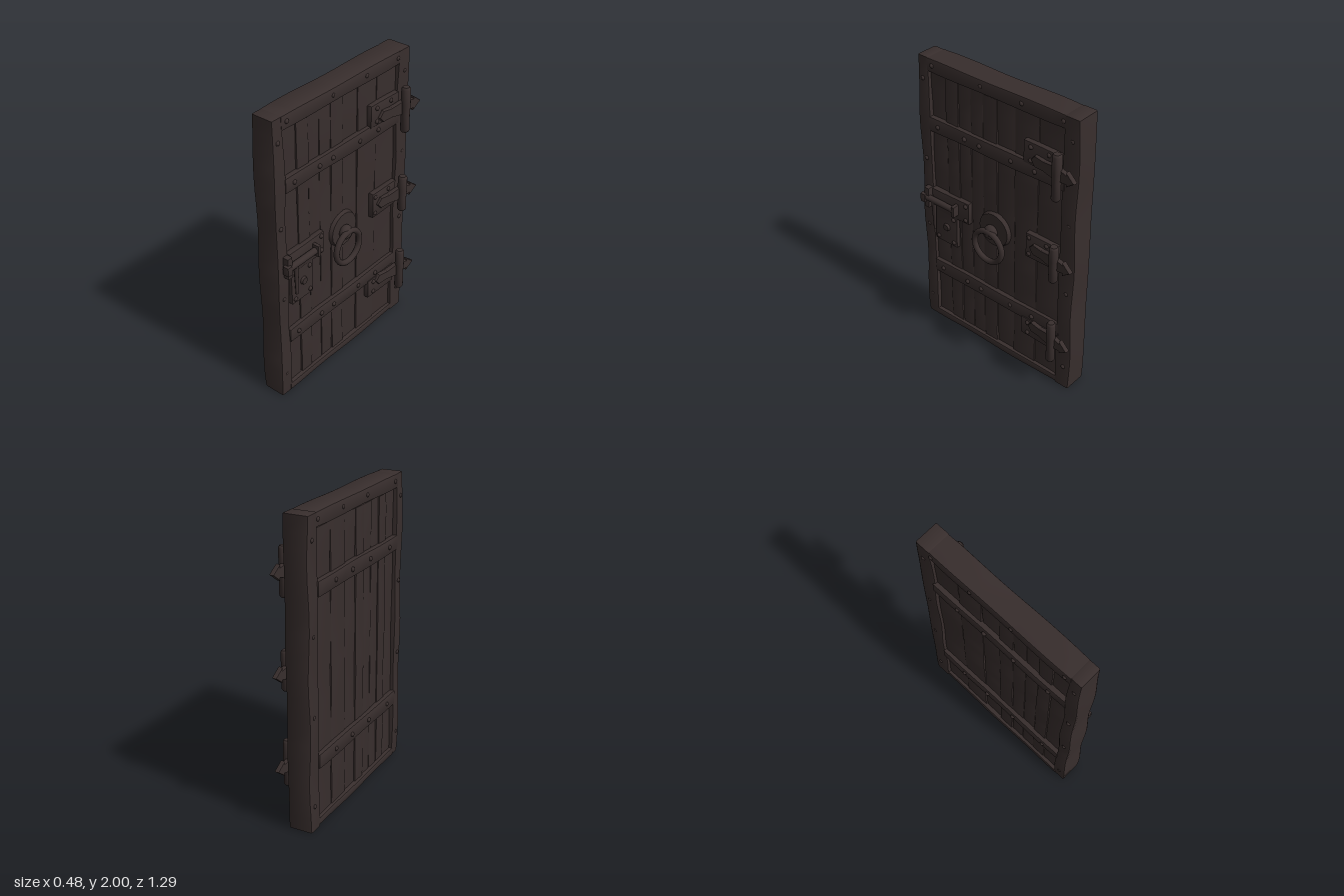
import * as THREE from 'three';
import { toCreasedNormals } from 'three/addons/utils/BufferGeometryUtils.js';

export function createModel() {
  const wood = new THREE.MeshStandardMaterial({ color: 0x382e2d });
  wood.name = 'dark weathered wood and iron';
  const model = new THREE.Group();
  model.name = 'door';
  // Door frame of reference: x = thickness (fittings on +x), y = up, z = width
  const door = new THREE.Group();
  door.name = 'swungDoor';
  door.position.set(-0.027, 0, 0.02);
  door.rotation.y = 0.223;
  model.add(door);

  const add = (name, geo, x, y, z, parent = door) => {
    const mesh = new THREE.Mesh(geo, wood);
    mesh.name = name;
    mesh.position.set(x, y, z);
    parent.add(mesh);
    return mesh;
  };

  // Hand-hewn beam: rounded edges and a gentle waviness along its length
  let seed = 0;
  const beamGeo = (size, bevel, wave) => {
    seed += 1.7;
    const long = size.indexOf(Math.max(...size));
    const segs = size.map((s, i) => (i === long ? Math.max(3, Math.round(s * 10)) : 3));
    const g = new THREE.BoxGeometry(...size, ...segs);
    const p = g.attributes.position;
    const v = new THREE.Vector3(), core = new THREE.Vector3();
    const inner = new THREE.Vector3(...size).multiplyScalar(0.5).subScalar(bevel);
    const low = inner.clone().negate();
    for (let i = 0; i < p.count; i++) {
      v.fromBufferAttribute(p, i);
      const c = v.toArray().map((a, k) =>
        k !== long && Math.abs(a) < size[k] * 0.4 ? Math.sign(a) * inner.getComponent(k) : a);
      v.fromArray(c);
      core.copy(v).clamp(low, inner);
      v.sub(core);
      if (v.length() > bevel) v.setLength(bevel);
      v.add(core);
      const t = v.getComponent(long);
      for (let k = 0; k < 3; k++) {
        if (k === long) continue;
        const side = Math.sign(v.getComponent(k));
        v.setComponent(k, v.getComponent(k) + wave * Math.sin(t * 9 + seed * (k + 2) + side * 2));
      }
      p.setXYZ(i, v.x, v.y, v.z);
    }
    return toCreasedNormals(g, 0.7);
  };
  // Beam given by its limits on each axis
  const beam = (name, [x0, x1], [y0, y1], [z0, z1], bevel = 0.01, wave = 0.002) =>
    add(name, beamGeo([x1 - x0, y1 - y0, z1 - z0], bevel, wave),
      (x0 + x1) / 2, (y0 + y1) / 2, (z0 + z1) / 2);

  // Outer frame
  const depth = [-0.08, 0.08];
  beam('hingeStile', depth, [0, 2], [-0.62, -0.505], 0.012, 0.004);
  beam('latchStile', depth, [0, 2], [0.53, 0.62], 0.012, 0.004);
  beam('topRail', depth, [1.908, 2], [-0.52, 0.545], 0.01, 0.002);
  beam('bottomRail', depth, [0.003, 0.055], [-0.52, 0.545], 0.01, 0.002);

  // Vertical planks of uneven width
  const cuts = [-0.51, -0.32, -0.14, 0, 0.11, 0.21, 0.31, 0.41, 0.535];
  for (let i = 0; i < cuts.length - 1; i++) {
    const d = 0.058 + 0.004 * Math.sin(i * 2.4);
    beam('plank', [-d, d], [0.045, 1.9], [cuts[i] - 0.001, cuts[i + 1] + 0.001], 0.007, 0.002);
  }

  // Dome-headed rivet on either face
  const rivetGeo = new THREE.SphereGeometry(0.016, 10, 5, 0, Math.PI * 2, 0, Math.PI / 2);
  rivetGeo.rotateZ(-Math.PI / 2);
  const rivet = (x, y, z, side = 1) => {
    const r = add('rivet', rivetGeo, x * side, y, z);
    r.rotation.y = side > 0 ? 0 : Math.PI;
  };

  // Cross bands on both faces, with rivets
  for (const y of [0.45, 1.55]) {
    beam('frontBand', [0.04, 0.085], [y - 0.05, y + 0.05], [-0.525, 0.535], 0.008, 0.002);
    beam('backBand', [-0.087, -0.04], [y - 0.05, y + 0.05], [-0.515, 0.54], 0.008, 0.002);
    for (const z of [-0.31, -0.13, 0.12, 0.24, 0.46]) rivet(0.083, y, z);
    for (const z of [-0.31, -0.095, 0.14, 0.41]) rivet(0.085, y, z, -1);
  }
  // Small nails in the frame
  for (const y of [0.17, 0.77, 1.28, 1.85]) {
    for (const side of [1, -1]) {
      rivet(0.073, y, 0.578, side);
      rivet(0.073, y, -0.57, side);
    }
  }
  for (const z of [-0.5, -0.2, 0.11, 0.5]) for (const side of [1, -1]) rivet(0.073, 1.955, z, side);

  // Hinge: plate, tapering leaf with a pointed tail, and pin
  const leafShape = new THREE.Shape([
    [-0.645, 0], [-0.588, 0.045], [-0.59, 0.028], [-0.5, 0.045], [-0.4, 0.03], [-0.33, 0.035],
    [-0.3, 0], [-0.33, -0.035], [-0.4, -0.03], [-0.5, -0.045], [-0.59, -0.028], [-0.588, -0.045],
  ].map(([a, b]) => new THREE.Vector2(a + 0.512, b)));
  const leafGeo = new THREE.ExtrudeGeometry(leafShape, {
    depth: 0.018, bevelEnabled: true, bevelThickness: 0.006, bevelSize: 0.004, bevelSegments: 1,
  });
  leafGeo.translate(0, 0, -0.009).rotateY(-Math.PI / 2);
  const hinge = (y, pinLow, pinHigh, plateLow, plateHigh) => {
    beam('hingePlate', [0.05, 0.094], [plateLow, plateHigh], [-0.5, y > 0.9 && y < 1.1 ? -0.26 : -0.23], 0.006, 0.002);
    const leaf = add('hingeLeaf', leafGeo, 0.122, y, -0.512);
    leaf.rotation.y = -0.14;
    const h = pinHigh - pinLow;
    const pin = [[0, -h / 2], [0.022, -h / 2], [0.03, -h / 2 + 0.012], [0.028, -0.03], [0.031, 0.03],
      [0.03, h / 2 - 0.012], [0.022, h / 2], [0, h / 2]].map(([a, b]) => new THREE.Vector2(a, b));
    add('hingePin', toCreasedNormals(new THREE.LatheGeometry(pin, 14), 0.7), 0.139, (pinLow + pinHigh) / 2, -0.512);
    for (const z of [-0.285, -0.42]) rivet(0.09, plateHigh - 0.03, z);
    rivet(0.09, plateLow + 0.03, -0.285);
  };
  hinge(1.64, 1.47, 1.78, 1.59, 1.74);
  hinge(1.01, 0.88, 1.14, 0.92, 1.1);
  hinge(0.39, 0.24, 0.55, 0.28, 0.42);

  // Ring pull on a round back plate
  const disc = new THREE.CylinderGeometry(0.115, 0.125, 0.03, 20);
  disc.rotateZ(-Math.PI / 2);
  add('ringPlate', toCreasedNormals(disc, 0.6), 0.068, 0.98, 0.012);
  const boss = add('ringBoss', new THREE.SphereGeometry(0.05, 16, 10), 0.1, 0.97, 0.02);
  boss.scale.set(0.75, 1, 1);
  const ring = add('pullRing', new THREE.TorusGeometry(0.112, 0.02, 10, 28), 0.122, 0.87, 0.023);
  ring.rotation.y = Math.PI / 2;

  // Latch: plates, sliding bolt, guides and drop handle
  beam('latchPlate', [0.05, 0.09], [0.925, 1.08], [0.215, 0.53], 0.006, 0.002);
  beam('lockPlate', [0.05, 0.09], [0.69, 0.935], [0.32, 0.515], 0.006, 0.002);
  beam('boltKeeper', [0.07, 0.12], [0.93, 1.08], [0.535, 0.575], 0.006, 0.001);
  beam('boltHead', [0.09, 0.14], [0.97, 1.035], [0.555, 0.595], 0.008, 0.001);
  beam('boltGuide', [0.08, 0.138], [0.965, 1.045], [0.3, 0.325], 0.006, 0.001);
  const bolt = add('bolt', new THREE.CylinderGeometry(0.022, 0.022, 0.27, 12), 0.112, 1.005, 0.45);
  bolt.rotation.x = Math.PI / 2;
  const handle = add('boltHandle', new THREE.CylinderGeometry(0.019, 0.009, 0.21, 10), 0.112, 0.885, 0.497);
  handle.scale.x = 0.8;
  for (const [y, z] of [[1.055, 0.24], [0.95, 0.24], [0.72, 0.35], [0.72, 0.485], [0.9, 0.35]]) rivet(0.086, y, z);
  // Keyhole boss
  const key = add('keyholeBoss', new THREE.CylinderGeometry(0.022, 0.028, 0.016, 12), 0.095, 0.82, 0.41);
  key.rotation.z = -Math.PI / 2;

  return model;
}
